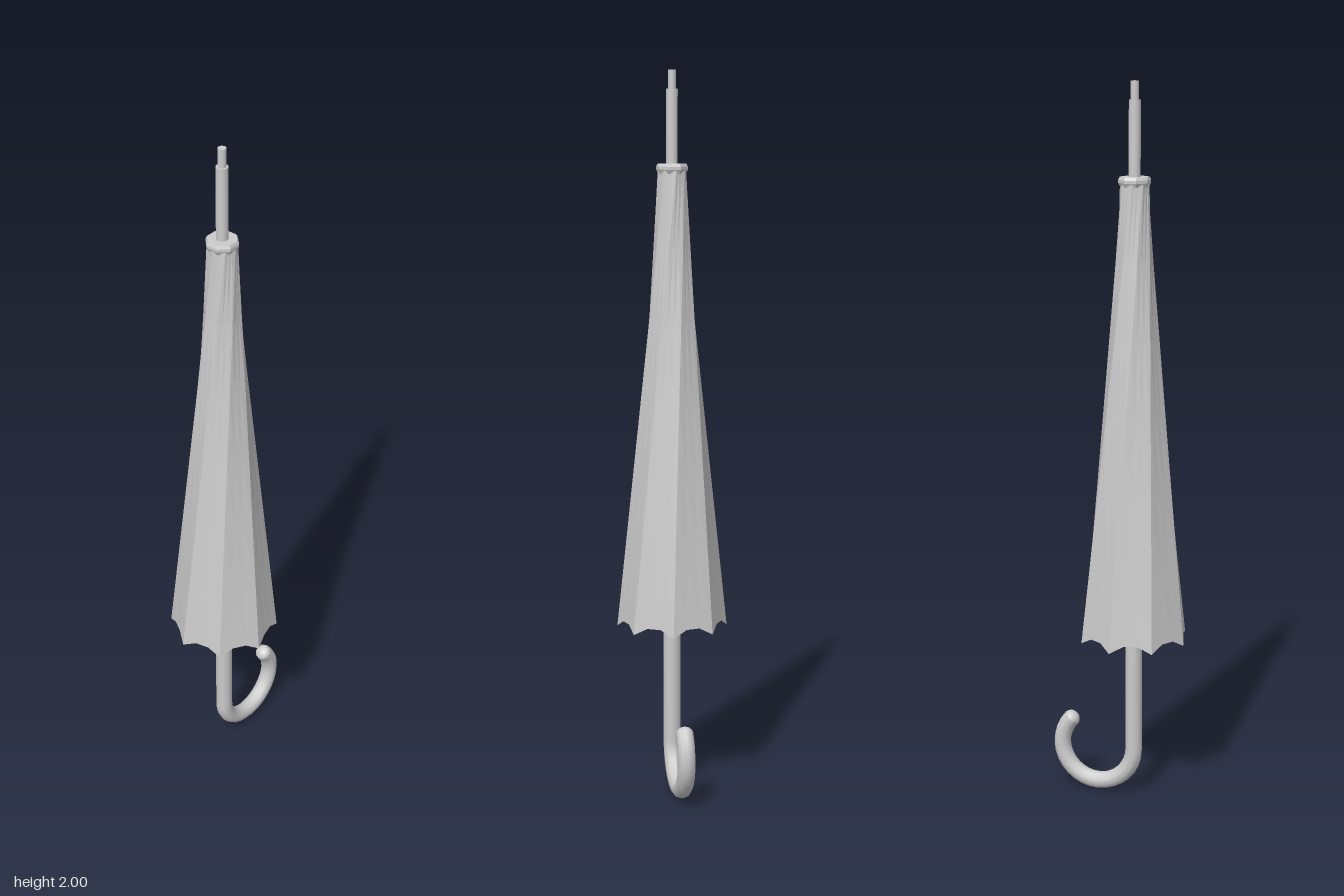
import * as THREE from 'three';

const AXIS_Z = 0.042; // the shaft stands a little in front of the centre, the hook curls back

function material(options = {}) {
  return new THREE.MeshStandardMaterial({ color: 0xcccccc, ...options });
}

function addMesh(group, name, geometry, mat) {
  const mesh = new THREE.Mesh(geometry, mat);
  mesh.name = name;
  group.add(mesh);
  return mesh;
}

// Point on the outline of a regular octagon; s runs 0..8, one unit per side
function octagonPoint(s, radius, turn) {
  const i = Math.floor(s), f = s - i;
  const a = turn + (i * Math.PI) / 4, b = a + Math.PI / 4;
  return [
    radius * (Math.cos(a) * (1 - f) + Math.cos(b) * f),
    radius * (Math.sin(a) * (1 - f) + Math.sin(b) * f),
  ];
}

// Furled cloth: eight twisted panels lofted from a small to a large octagon, scalloped hem
function canopyGeometry() {
  const perSide = 3, rows = 6, cols = 8 * perSide;
  const topY = 1.735, hemY = 0.465, scallop = 0.024;
  const hemTurn = THREE.MathUtils.degToRad(9);
  const topTurn = hemTurn - THREE.MathUtils.degToRad(60);
  const positions = [], indices = [];
  for (let r = 0; r <= rows; r++) {
    for (let c = 0; c <= cols; c++) {
      const s = c / perSide, f = s - Math.floor(s);
      const lift = scallop * Math.sin(Math.PI * f);
      const t = (r / rows) * (1 - lift / (topY - hemY));
      const [x0, z0] = octagonPoint(s, 0.04, topTurn);
      const [x1, z1] = octagonPoint(s, 0.154, hemTurn);
      positions.push(x0 + (x1 - x0) * t, topY + (hemY - topY) * t, z0 + (z1 - z0) * t);
    }
  }
  const stride = cols + 1;
  for (let r = 0; r < rows; r++) {
    for (let c = 0; c < cols; c++) {
      const a = r * stride + c, b = a + stride;
      indices.push(a, a + 1, b, a + 1, b + 1, b);
    }
  }
  const geometry = new THREE.BufferGeometry();
  geometry.setAttribute('position', new THREE.Float32BufferAttribute(positions, 3));
  geometry.setIndex(indices);
  geometry.computeVertexNormals();
  return geometry;
}

export function createModel() {
  const group = new THREE.Group();
  group.name = 'umbrella';
  const smooth = material();

  // Canopy
  addMesh(group, 'canopy', canopyGeometry(), material({ flatShading: true, side: THREE.DoubleSide }))
    .position.z = AXIS_Z;

  // Collar that closes the canopy at the top
  const collarProfile = [[0, 1.722], [0.038, 1.722], [0.044, 1.734], [0.044, 1.742], [0.04, 1.75], [0, 1.75]]
    .map(([r, y]) => new THREE.Vector2(r, y));
  const collar = addMesh(group, 'collar', new THREE.LatheGeometry(collarProfile, 8), material({ flatShading: true }));
  collar.position.z = AXIS_Z;
  collar.rotation.y = Math.PI / 8;

  // Ferrule and its narrower tip
  const rods = [['ferrule', 0.016, 1.74, 1.95], ['ferruleTip', 0.011, 1.945, 2.0]];
  for (const [name, radius, y0, y1] of rods) {
    addMesh(group, name, new THREE.CylinderGeometry(radius, radius, y1 - y0, 16), smooth)
      .position.set(0, (y0 + y1) / 2, AXIS_Z);
  }

  // Shaft down to the start of the hook
  const tube = 0.0245, hookR = 0.107, hookY = hookR + tube, sides = 10;
  const shaftTop = 1.73;
  addMesh(group, 'shaft', new THREE.CylinderGeometry(tube, tube, shaftTop - hookY, sides), smooth)
    .position.set(0, (shaftTop + hookY) / 2, AXIS_Z);

  // Crook handle: part of a ring, starting at the shaft and curling backwards
  const sweep = THREE.MathUtils.degToRad(223);
  const hook = new THREE.Group();
  hook.name = 'hook';
  hook.position.set(0, hookY, AXIS_Z - hookR);
  hook.rotation.y = Math.PI / 2; // ring's x axis now points to -z
  group.add(hook);
  const ring = addMesh(hook, 'crook', new THREE.TorusGeometry(hookR, tube, sides, 20, sweep), smooth);
  ring.rotation.z = Math.PI; // start at the shaft side, pass through the bottom

  // Rounded end of the crook
  const end = addMesh(ring, 'crookEnd',
    new THREE.SphereGeometry(tube, sides, 4, 0, Math.PI * 2, 0, Math.PI / 2), smooth);
  end.position.set(hookR * Math.cos(sweep), hookR * Math.sin(sweep), 0);
  end.rotation.z = sweep;
  end.scale.y = 0.8;

  return group;
}
